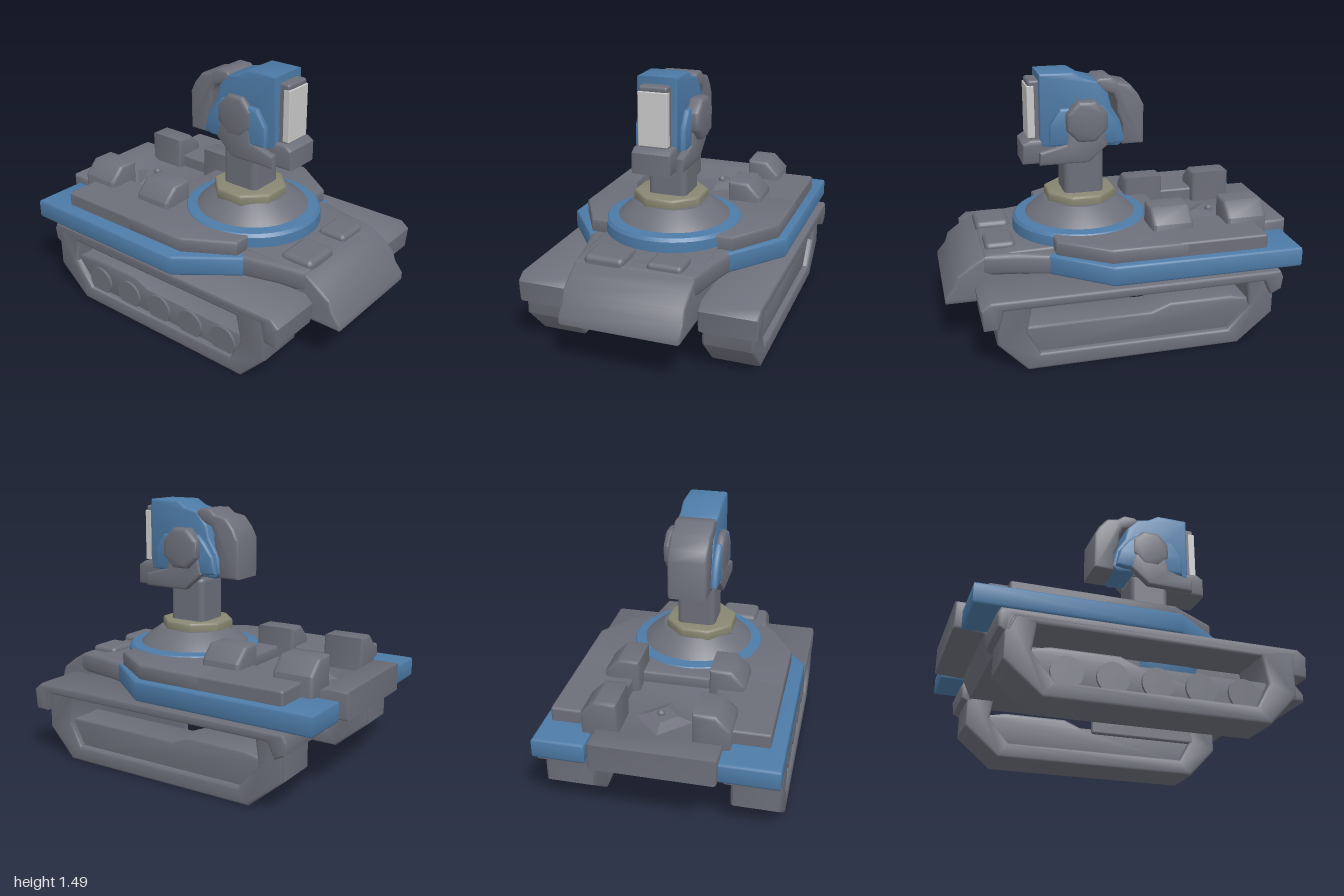
import * as THREE from 'three';
import { toCreasedNormals } from 'three/addons/utils/BufferGeometryUtils.js';
import { RoundedBoxGeometry } from 'three/addons/geometries/RoundedBoxGeometry.js';

const flat = (name, color) => {
  const m = new THREE.MeshStandardMaterial({ color });
  m.name = name;
  return m;
};

export function createModel() {
  const grey = flat('armour grey', 0x6c6e79);
  const blue = flat('trim blue', 0x4c7aa6);
  const khaki = flat('collar khaki', 0x878671);
  const white = flat('lens white', 0xc8c8c8);
  const model = new THREE.Group();
  model.name = 'trackedVehicle';

  const add = (name, geometry, material, parent = model) => {
    const mesh = new THREE.Mesh(geometry, material);
    mesh.name = name;
    parent.add(mesh);
    return mesh;
  };

  // Bevelled prism grown from a 2D outline, starting at depth 0
  const prism = (points, depth, bevel, hole) => {
    const shape = new THREE.Shape(points.map(p => new THREE.Vector2(...p)));
    if (hole) shape.holes.push(new THREE.Path(hole.map(p => new THREE.Vector2(...p))));
    const g = new THREE.ExtrudeGeometry(shape, {
      depth: depth - 2 * bevel, bevelEnabled: true, bevelThickness: bevel,
      bevelSize: bevel, bevelOffset: -bevel, bevelSegments: 2,
    });
    return toCreasedNormals(g.translate(0, 0, bevel), 0.8);
  };
  const flip = pts => pts && pts.map(([a, b]) => [-a, b]);
  // Outline in (z, y), extended from x0 to x1
  const side = (name, mat, pts, x0, x1, parent, bevel = 0.015, hole) =>
    add(name, prism(flip(pts), x1 - x0, bevel, flip(hole)).rotateY(Math.PI / 2).translate(x0, 0, 0), mat, parent);
  // Outline in (x, z), extended from y0 to y1
  const plan = (name, mat, pts, y0, y1, parent, bevel = 0.015) =>
    add(name, prism(pts.map(([x, z]) => [x, -z]), y1 - y0, bevel).rotateX(-Math.PI / 2).translate(0, y0, 0), mat, parent);
  // Rounded box given by its limits
  const box = (name, mat, [x0, x1], [y0, y1], [z0, z1], parent, r = 0.015) =>
    add(name, new RoundedBoxGeometry(x1 - x0, y1 - y0, z1 - z0, 2, r)
      .translate((x0 + x1) / 2, (y0 + y1) / 2, (z0 + z1) / 2), mat, parent);

  // Hull with sloping nose and a sunken engine bay
  side('hull', grey, [
    [1, 0.28], [1, 0.32], [0.95, 0.38], [0.93, 0.44], [0.85, 0.5], [0.78, 0.54], [0.6, 0.56],
    [0.4, 0.565], [-0.3, 0.565], [-0.36, 0.555], [-0.8, 0.555], [-0.86, 0.595], [-1, 0.595],
    [-1, 0.44], [-0.84, 0.43], [-0.79, 0.315], [0, 0.315], [0.3, 0.28],
  ], -0.36, 0.32);
  // Wider shoulders that taper towards the nose
  plan('frontShoulders', grey, [
    [-0.44, 0.36], [-0.44, 0.42], [-0.38, 0.64], [-0.36, 0.78], [0.32, 0.78], [0.35, 0.6], [0.4, 0.42], [0.4, 0.36],
  ], 0.43, 0.553, model, 0.025);
  box('bellyPlate', grey, [-0.3, 0.26], [0.238, 0.32], [0.4, 0.6], model, 0.03);
  box('noseBumpRight', grey, [-0.31, -0.08], [0.5, 0.588], [0.58, 0.78], model, 0.03);
  box('noseHatch', grey, [0.04, 0.24], [0.5, 0.585], [0.59, 0.76], model, 0.025);

  // Raised deck and engine bay cover
  plan('frontDeck', grey, [
    [-0.6, -0.3], [-0.6, 0.12], [-0.44, 0.39], [0.4, 0.39], [0.59, 0.12], [0.59, -0.3],
  ], 0.54, 0.632);
  box('sideDeckRight', grey, [-0.6, -0.24], [0.54, 0.632], [-0.77, -0.25]);
  box('sideDeckLeft', grey, [0.24, 0.59], [0.54, 0.632], [-0.77, -0.25]);
  const cover = add('engineCover', new THREE.CylinderGeometry(0.08, 0.17, 0.03, 4).toNonIndexed(), grey);
  cover.geometry.computeVertexNormals();
  cover.position.set(0, 0.567, -0.63);
  add('engineCap', new THREE.SphereGeometry(0.022, 12, 8), grey).position.set(0.015, 0.588, -0.63);

  // Four deck boxes with chamfered outer shoulders
  for (const s of [-1, 1]) {
    for (const [z0, z1] of [[-0.84, -0.6], [-0.4, -0.16]]) {
      const outline = [[0.2, 0.5], [0.2, 0.745], [0.32, 0.745], [0.4, 0.665], [0.4, 0.5]].map(([x, y]) => [s * x, y]);
      add('deckBox', prism(outline, z1 - z0, 0.02).translate(0, 0, z0), grey);
    }
  }

  // Side trims, fenders and tracks
  for (const s of [-1, 1]) {
    const outer = s < 0 ? -0.68 : 0.635, inner = s < 0 ? -0.35 : 0.345;
    plan('sideTrim', blue, [
      [outer, -0.96], [outer, 0.12], [outer - s * 0.24, 0.43], [inner, 0.43], [inner, -0.96],
    ], 0.435, 0.552);
    const [f0, f1] = s < 0 ? [-0.68, -0.36] : [0.35, 0.675];
    side('fender', grey, [
      [0.83, 0.28], [0.84, 0.4], [0.79, 0.44], [-0.82, 0.44], [-0.84, 0.4], [-0.83, 0.33],
      [-0.77, 0.3], [-0.73, 0.385], [0.72, 0.385], [0.75, 0.28],
    ], f0, f1);

    const track = new THREE.Group();
    track.name = s < 0 ? 'rightTrack' : 'leftTrack';
    model.add(track);
    const [t0, t1] = s < 0 ? [-0.68, -0.4] : [0.35, 0.635];
    side('trackBelt', grey, [
      [0.76, 0.43], [0.76, 0.17], [0.6, 0], [-0.6, 0], [-0.8, 0.17], [-0.8, 0.43],
    ], t0, t1, track, 0.015, [
      [0.57, 0.37], [0.6, 0.22], [0.53, 0.09], [-0.54, 0.09], [-0.66, 0.23], [-0.64, 0.37],
    ]);
    side('trackCore', grey, [
      [0.66, 0.24], [0.62, 0.05], [-0.62, 0.05], [-0.7, 0.25], [-0.56, 0.28], [-0.2, 0.28], [-0.1, 0.24],
    ], t0 + 0.035, t1 - 0.035, track);
  }
  // Inner wall closing the front half of the left track opening
  box('trackInnerWall', grey, [0.35, 0.38], [0.2, 0.42], [-0.04, 0.64]);
  // Road wheels showing on the right track
  for (let i = 0; i < 5; i++) {
    add('roadWheel', new THREE.CylinderGeometry(0.085, 0.085, 0.03, 20).rotateZ(Math.PI / 2), grey)
      .position.set(-0.645, 0.15, 0.46 - i * 0.235);
  }

  // Turret ring passing through the hull, stacked from lathed bands
  const turret = new THREE.Group();
  turret.name = 'turret';
  turret.position.set(-0.02, 0, 0.17);
  model.add(turret);
  const band = (name, mat, pts) =>
    add(name, toCreasedNormals(new THREE.LatheGeometry(pts.map(p => new THREE.Vector2(...p)), 40), 0.6), mat, turret);
  band('turretUnderside', grey, [[0, 0.2], [0.14, 0.2], [0.22, 0.235], [0.28, 0.25]]);
  band('turretRing', blue, [[0.28, 0.25], [0.35, 0.275], [0.37, 0.31], [0.4, 0.54], [0.395, 0.62], [0.38, 0.638], [0.322, 0.645]]);
  band('turretCone', grey, [[0.322, 0.645], [0.28, 0.685], [0.21, 0.735], [0, 0.735]]);
  const octagon = Array.from({ length: 8 }, (_, i) => {
    const a = (i + 0.5) * Math.PI / 4;
    return [-0.04 + 0.213 * Math.cos(a), 0.165 + 0.213 * Math.sin(a)];
  });
  plan('turretCollar', khaki, octagon, 0.715, 0.786);
  box('turretPost', grey, [-0.14, 0.085], [0.74, 1.05], [0.045, 0.275], model, 0.035);

  // Head: cradle, blue shell, lens and rear counterweight
  const head = new THREE.Group();
  head.name = 'head';
  model.add(head);
  side('headCradle', grey, [
    [0.51, 0.975], [0.51, 1.09], [0.47, 1.115], [0.06, 1.115], [0.06, 1.04], [0.14, 0.975],
  ], -0.14, 0.085, head);
  side('headShell', blue, [
    [0.41, 1.07], [0.41, 1.487], [0.22, 1.487], [0.16, 1.45], [0.08, 1.43], [0.02, 1.36],
    [0, 1.28], [-0.05, 1.2], [-0.08, 1.08], [-0.04, 1.05], [0.1, 1.06],
  ], -0.142, 0.088, head);
  side('headCounterweight', grey, [
    [0.1, 1.42], [0.07, 1.445], [0, 1.447], [-0.04, 1.415], [-0.11, 1.4], [-0.16, 1.34], [-0.19, 1.28],
    [-0.19, 1.055], [-0.065, 1.055], [-0.065, 1.17], [-0.035, 1.24], [-0.03, 1.31], [-0.01, 1.35], [0.05, 1.37],
  ], -0.14, 0.085, head);
  box('lensHousing', grey, [-0.108, 0.055], [1.09, 1.447], [0.38, 0.468], head);
  box('lens', white, [-0.11, 0.057], [1.12, 1.418], [0.432, 0.475], head, 0.006);

  // Flanks: blue cheek, lower bracket and faceted pivot
  const hub = Array.from({ length: 8 }, (_, i) => {
    const a = (i + 0.5) * Math.PI / 4;
    return [0.155 + 0.125 * Math.cos(a), 1.22 + 0.125 * Math.sin(a)];
  });
  const flanks = [
    { bracket: [-0.18, -0.13], cheek: [-0.176, -0.13], pivot: [-0.184, -0.13] },
    { bracket: [0.075, 0.128], cheek: [0.075, 0.118], pivot: [0.075, 0.165] },
  ];
  for (const { bracket, cheek, pivot } of flanks) {
    side('headCheek', blue, [
      [0.36, 1.08], [0.36, 1.2], [0.3, 1.29], [0.06, 1.3], [0.01, 1.25], [-0.04, 1.18], [-0.06, 1.08], [0, 1.07],
    ], ...cheek, head);
    side('armBracket', grey, [
      [0.42, 0.975], [0.42, 1.05], [0.27, 1.09], [0.25, 1.2], [0.06, 1.2], [0.03, 1.07], [0.14, 0.975],
    ], ...bracket, head);
    side('armPivot', grey, hub, ...pivot, head, 0.022);
  }
  return model;
}
